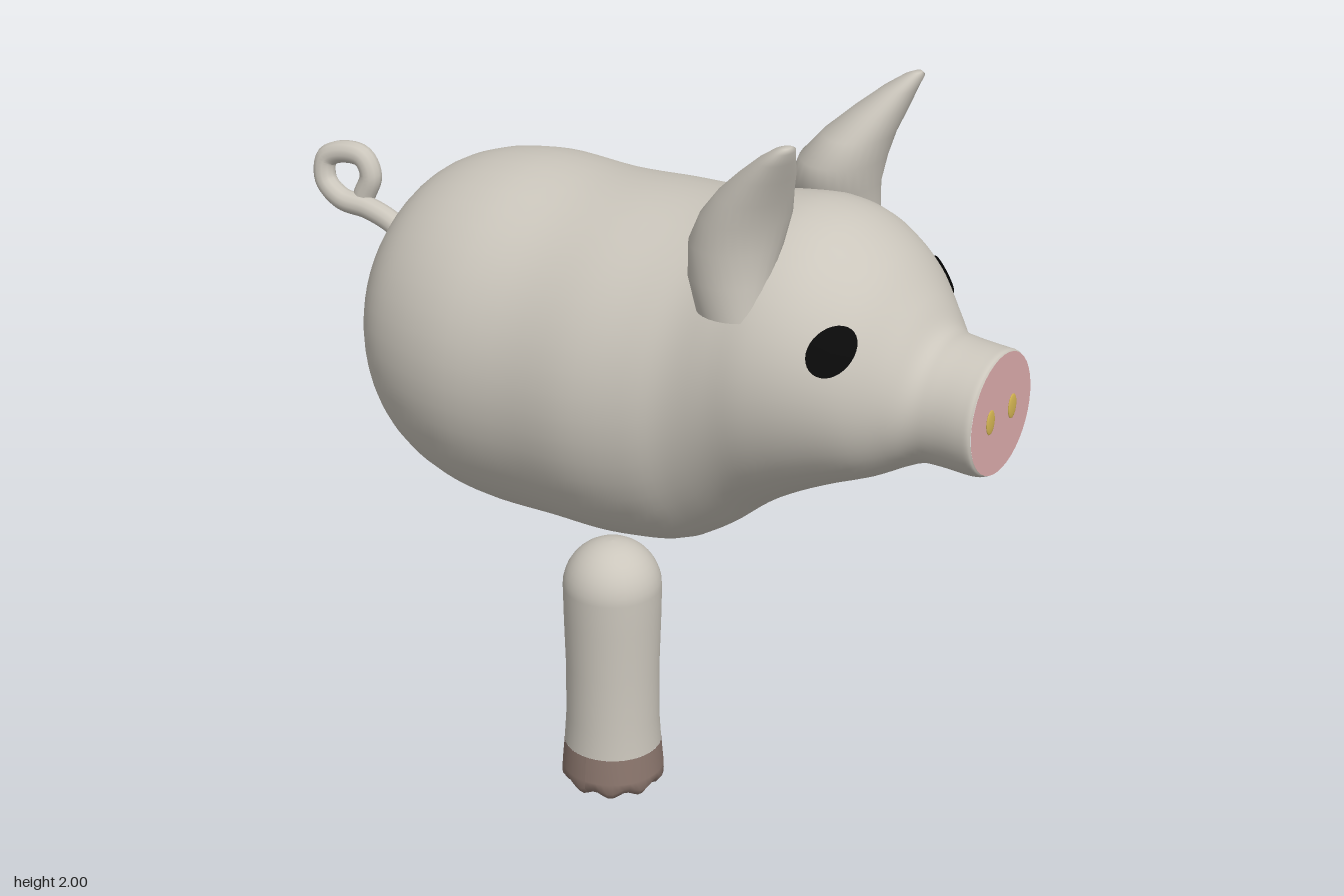
import * as THREE from 'three';

const mat = (name, color) => {
  const m = new THREE.MeshStandardMaterial({ color });
  m.name = name;
  return m;
};

// Skin over closed rings of equal point count
function loft(rings) {
  const n = rings[0].length, pos = [], idx = [];
  rings.forEach(r => r.forEach(p => pos.push(p.x, p.y, p.z)));
  for (let i = 0; i < rings.length - 1; i++) {
    for (let j = 0; j < n; j++) {
      const k = (j + 1) % n, a = i * n + j, b = i * n + k;
      idx.push(a, b, a + n, b, b + n, a + n);
    }
  }
  const g = new THREE.BufferGeometry();
  g.setAttribute('position', new THREE.Float32BufferAttribute(pos, 3));
  g.setIndex(idx);
  g.computeVertexNormals();
  return g;
}

const ring = (n, f) => Array.from({ length: n }, (_, j) => f(Math.cos(j / n * Math.PI * 2), Math.sin(j / n * Math.PI * 2)));

// Body sections from rump to snout: x, top y, bottom y, half width
const sections = [
  [-0.745, 1.265, 1.265, 0], [-0.735, 1.37, 1.16, 0.1], [-0.7, 1.465, 1.05, 0.2],
  [-0.6, 1.6, 0.915, 0.33], [-0.48, 1.67, 0.838, 0.4], [-0.32, 1.7, 0.803, 0.435],
  [-0.12, 1.695, 0.801, 0.43], [0.05, 1.705, 0.803, 0.432], [0.2, 1.715, 0.825, 0.405],
  [0.3, 1.73, 0.882, 0.377], [0.4, 1.75, 0.965, 0.367], [0.5, 1.757, 1.03, 0.362],
  [0.6, 1.732, 1.08, 0.335], [0.7, 1.665, 1.122, 0.283], [0.78, 1.575, 1.165, 0.21],
  [0.83, 1.51, 1.185, 0.17], [0.88, 1.498, 1.186, 0.158], [0.95, 1.492, 1.183, 0.157],
  [0.976, 1.49, 1.187, 0.155], [0.984, 1.483, 1.195, 0.147],
];
const heights = new THREE.CatmullRomCurve3(sections.map(s => new THREE.Vector3(s[0], s[1], s[2])), false, 'catmullrom');
const widths = new THREE.CatmullRomCurve3(sections.map(s => new THREE.Vector3(s[0], s[3], 0)), false, 'catmullrom');
function sectionAt(t) {
  const h = heights.getPoint(t);
  return { x: h.x, y: (h.y + h.z) / 2, ry: Math.max(0, (h.y - h.z) / 2), rz: Math.max(0, widths.getPoint(t).y) };
}

// Half width of the body at a given x and y
function surfaceZ(x, y) {
  let lo = 0, hi = 1;
  for (let i = 0; i < 30; i++) {
    const m = (lo + hi) / 2;
    if (heights.getPoint(m).x < x) lo = m; else hi = m;
  }
  const s = sectionAt(lo);
  return s.rz * Math.sqrt(Math.max(0, 1 - ((y - s.y) / s.ry) ** 2));
}

// Ear sections upward: y, centre x, half depth, centre z, half width
const earSections = [
  [1.56, 0.42, 0.085, 0.27, 0.07], [1.64, 0.405, 0.1, 0.25, 0.095], [1.72, 0.405, 0.107, 0.225, 0.12],
  [1.79, 0.428, 0.1, 0.222, 0.123], [1.85, 0.46, 0.083, 0.238, 0.104], [1.91, 0.503, 0.062, 0.261, 0.078],
  [1.96, 0.54, 0.04, 0.284, 0.052], [1.99, 0.567, 0.024, 0.297, 0.034], [2.0, 0.575, 0.01, 0.3, 0.015], [2.0, 0.575, 0, 0.3, 0],
];

export function createModel() {
  const pig = new THREE.Group();
  pig.name = 'pig';
  const skin = mat('skin', 0xcbc6bc), pink = mat('snout pink', 0xdcabab), gold = mat('nostril yellow', 0xd4b552),
    brown = mat('hoof brown', 0x8c776e), black = mat('eye black', 0x0a0a0a);
  const add = (name, geo, material) => {
    const m = new THREE.Mesh(geo, material);
    m.name = name;
    pig.add(m);
    return m;
  };

  // Body, head and snout in one skin
  const rings = [];
  for (let i = 0; i <= 95; i++) {
    const s = sectionAt(i / 95);
    rings.push(ring(48, (c, d) => new THREE.Vector3(s.x, s.y + s.ry * c, s.rz * d)));
  }
  add('body', loft(rings), skin);

  // Snout plate and nostrils
  const plate = add('snoutPlate', new THREE.CircleGeometry(0.148, 40), pink);
  plate.rotation.y = Math.PI / 2;
  plate.position.set(0.985, 1.339, 0);

  for (const side of [1, -1]) {
    const label = side > 0 ? 'left' : 'right';
    const nostril = add(label + 'Nostril', new THREE.SphereGeometry(1, 16, 12), gold);
    nostril.scale.set(0.004, 0.031, 0.02);
    nostril.position.set(0.986, 1.338, side * 0.054);

    // Ears
    add(label + 'Ear', loft(earSections.map(([y, x, rx, z, rz]) =>
      ring(28, (c, d) => new THREE.Vector3(x + rx * d, y, side * z + rz * c)))), skin);

    // Eyes follow the curve of the head
    const eye = new THREE.RingGeometry(0, 1, 32, 5);
    const p = eye.attributes.position;
    for (let i = 0; i < p.count; i++) {
      const x = 0.68 + side * p.getX(i) * 0.045, y = 1.518 + p.getY(i) * 0.055;
      p.setXYZ(i, x + 0.003, y + 0.002, side * (surfaceZ(x, y) + 0.005));
    }
    eye.computeVertexNormals();
    add(label + 'Eye', eye, black).material.side = THREE.DoubleSide;
  }

  // Curly tail with a flared root
  const tailPath = new THREE.CatmullRomCurve3([
    [-0.69, 1.36, 0], [-0.75, 1.42, 0], [-0.83, 1.452, 0.005], [-0.91, 1.466, 0.015], [-0.963, 1.505, 0.01],
    [-0.966, 1.56, 0], [-0.925, 1.583, -0.008], [-0.86, 1.58, -0.015], [-0.836, 1.535, -0.015], [-0.855, 1.48, -0.01],
  ].map(a => new THREE.Vector3(...a)));
  add('tail', new THREE.TubeGeometry(tailPath, 60, 0.029, 12), skin);
  const root = add('tailRoot', new THREE.CylinderGeometry(0.027, 0.05, 0.08, 16), skin);
  root.position.set(-0.725, 1.4, 0);
  root.rotation.z = 0.85;

  // Single leg with a domed top
  const legPts = [[0.127, 0.12], [0.122, 0.2], [0.122, 0.35], [0.126, 0.48], [0.128, 0.575]].map(a => new THREE.Vector2(...a));
  for (let i = 1; i <= 10; i++) {
    const a = i / 10 * Math.PI / 2;
    legPts.push(new THREE.Vector2(Math.max(0, 0.128 * Math.cos(a)), 0.575 + 0.127 * Math.sin(a)));
  }
  add('leg', new THREE.LatheGeometry(legPts, 36), skin).position.x = -0.09;

  // Hoof with a scalloped lower edge
  const hoofPts = [[0, 0.012], [0.09, 0.008], [0.118, 0.004], [0.134, 0.025], [0.133, 0.05], [0.127, 0.12]];
  const hoof = new THREE.LatheGeometry(hoofPts.map(a => new THREE.Vector2(...a)), 54);
  const hp = hoof.attributes.position;
  for (let i = 0; i < hp.count; i++) {
    const y = hp.getY(i), r = Math.hypot(hp.getX(i), hp.getZ(i));
    if (y < 0.04 && r > 0.1) hp.setY(i, y + 0.008 * (1 + Math.cos(9 * Math.atan2(hp.getZ(i), hp.getX(i)))) - 0.004);
  }
  hoof.computeVertexNormals();
  add('hoof', hoof, brown).position.x = -0.09;

  return pig;
}
